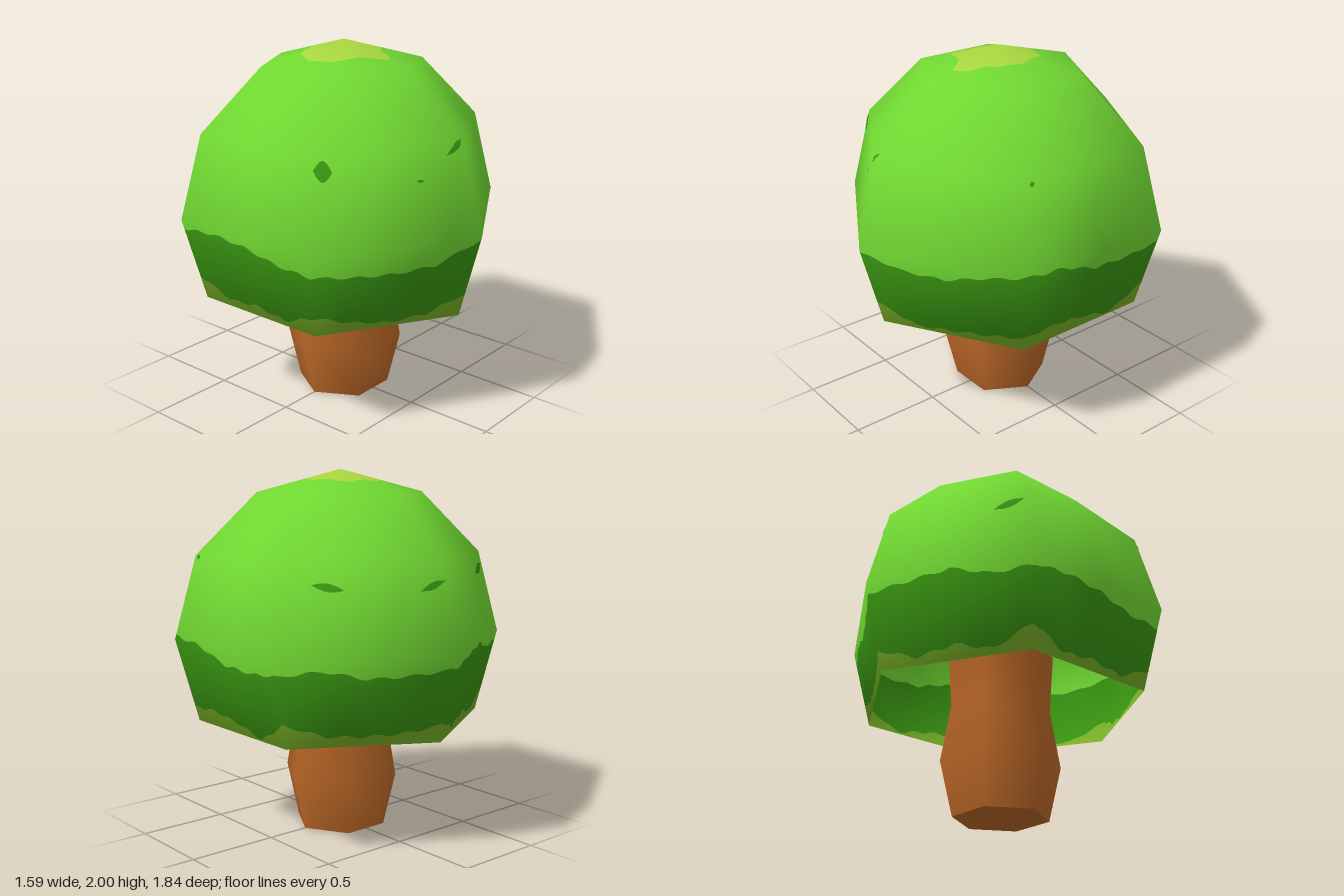
import * as THREE from 'three';

const CENTRE = 1.08, RADIUS = 0.92, SIDES = 6;

const paint = (name, color, side = THREE.FrontSide) => {
  const m = new THREE.MeshStandardMaterial({ color, side });
  m.name = name;
  return m;
};

// Canopy rings, 30 degrees apart, from the open rim up to the tip
const RINGS = [120, 90, 60, 30, 0].map(deg => {
  const a = THREE.MathUtils.degToRad(deg);
  return { y: CENTRE + RADIUS * Math.cos(a), r: RADIUS * Math.sin(a) };
});
const RIM = RINGS[0].y, TIP = RINGS[4].y;

// Six-sided radius of the canopy at height y
function radiusAt(y) {
  let k = 0;
  while (k < 3 && y > RINGS[k + 1].y) k++;
  const a = RINGS[k], b = RINGS[k + 1];
  return THREE.MathUtils.lerp(a.r, b.r, THREE.MathUtils.clamp((y - a.y) / (b.y - a.y), 0, 1));
}

// Point on the faceted canopy: s runs 0..6 around the corners, starting at the front
function canopyPoint(s, y) {
  const k = Math.floor(s), f = s - k, r = radiusAt(y);
  const a = k * Math.PI / 3, b = (k + 1) * Math.PI / 3;
  return new THREE.Vector3(
    r * THREE.MathUtils.lerp(Math.sin(a), Math.sin(b), f), y,
    r * THREE.MathUtils.lerp(Math.cos(a), Math.cos(b), f));
}

// Skin of the canopy between two height curves, split at every ring it crosses
function canopySkin(s0, s1, cols, low, high, lift = 0) {
  const pos = [], nor = [], index = [], rows = RINGS.length + 2;
  const centre = new THREE.Vector3(0, CENTRE, 0);
  for (let i = 0; i <= cols; i++) {
    const s = s0 + (s1 - s0) * i / cols, lo = low(s), hi = high(s);
    const heights = [lo, ...RINGS.map(q => THREE.MathUtils.clamp(q.y, lo, hi)), hi];
    for (const y of heights) {
      const p = canopyPoint(s, y), n = p.clone().sub(centre).normalize();
      p.addScaledVector(n, lift);
      pos.push(...p.toArray());
      nor.push(...n.toArray());
    }
  }
  const vertex = i => new THREE.Vector3().fromArray(pos, i * 3);
  const addFace = (a, b, c) => {
    const area = vertex(b).sub(vertex(a)).cross(vertex(c).sub(vertex(a))).length();
    if (area > 1e-8) index.push(a, b, c);
  };
  for (let i = 0; i < cols; i++) {
    for (let j = 0; j < rows - 1; j++) {
      const a = i * rows + j, b = a + rows;
      addFace(a, b, b + 1);
      addFace(a, b + 1, a + 1);
    }
  }
  const g = new THREE.BufferGeometry();
  g.setAttribute('position', new THREE.Float32BufferAttribute(pos, 3));
  g.setAttribute('normal', new THREE.Float32BufferAttribute(nor, 3));
  g.setIndex(index);
  return g;
}

// Closed curve through 24 evenly spaced heights, with a fine ragged ripple
function raggedEdge(values, ripple) {
  return s => {
    const x = (((s % SIDES) + SIDES) % SIDES) * values.length / SIDES;
    const k = Math.floor(x), n = values.length;
    const y = THREE.MathUtils.lerp(values[k % n], values[(k + 1) % n], x - k);
    return y + ripple * Math.sin(s * Math.PI / 3 * 31);
  };
}

export function createModel() {
  const model = new THREE.Group();
  model.name = 'tree';
  const bark = paint('bark brown', 0xb86626);
  const leaf = paint('leaf green', 0x70d731, THREE.DoubleSide);
  const shade = paint('deep green', 0x389411, THREE.DoubleSide);
  const olive = paint('olive green', 0x77b026, THREE.DoubleSide);
  const lime = paint('lime yellow', 0xa8d63f, THREE.DoubleSide);

  const add = (parent, name, geometry, material) => {
    const m = new THREE.Mesh(geometry, material);
    m.name = name;
    parent.add(m);
    return m;
  };

  // Trunk: six-sided, bulging below the canopy and flaring inside it
  const trunk = new THREE.Group();
  trunk.name = 'trunk';
  model.add(trunk);
  const profile = [[0.26, 0], [0.33, 0.3], [0.275, 0.62], [0.3, 0.95]].map(p => new THREE.Vector2(...p));
  add(trunk, 'trunkBody', new THREE.LatheGeometry(profile, SIDES, Math.PI / 2), bark);
  add(trunk, 'trunkBase', new THREE.CircleGeometry(0.26, SIDES).rotateX(Math.PI / 2), bark);
  add(trunk, 'trunkTop', new THREE.CircleGeometry(0.3, SIDES).rotateX(-Math.PI / 2).translate(0, 0.95, 0), bark);

  // Canopy: open six-sided dome in four ragged colour bands
  const canopy = new THREE.Group();
  canopy.name = 'canopy';
  model.add(canopy);
  const rimEdge = raggedEdge([
    0.75, 0.64, 0.65, 0.67, 0.70, 0.71, 0.68, 0.63, 0.75, 0.68, 0.67, 0.68,
    0.72, 0.66, 0.70, 0.65, 0.75, 0.66, 0.68, 0.65, 0.73, 0.67, 0.64, 0.66], 0.008);
  const shadeEdge = raggedEdge([
    1.07, 1.00, 0.99, 1.05, 1.10, 1.08, 1.00, 0.99, 1.01, 1.03, 0.98, 0.99,
    1.02, 1.05, 1.08, 1.02, 1.03, 1.05, 1.03, 0.98, 0.97, 0.94, 0.93, 0.95], 0.008);
  // The tip patch is given as distances from the axis
  const tipEdge = raggedEdge([
    0.31, 0.30, 0.23, 0.23, 0.20, 0.21, 0.22, 0.20, 0.19, 0.22, 0.25, 0.22,
    0.21, 0.23, 0.25, 0.24, 0.24, 0.28, 0.32, 0.30, 0.29, 0.27, 0.25, 0.27
  ].map(r => TIP - (TIP - RINGS[3].y) * r / RINGS[3].r), 0.001);

  const band = (name, low, high, material) =>
    add(canopy, name, canopySkin(0, SIDES, 192, low, high), material);
  band('rimBand', () => RIM, rimEdge, olive);
  band('shadeBand', rimEdge, shadeEdge, shade);
  band('leafBand', shadeEdge, tipEdge, leaf);
  band('tipPatch', tipEdge, () => TIP, lime);

  // Small dark flecks: position around, height, half width, thickness, slant
  const flecks = [
    [5.06, 1.48, 0.06, 0.10, -0.02], [5.93, 1.535, 0.07, 0.03, 0.07], [5.67, 1.39, 0.025, 0.015, 0],
    [1.05, 1.53, 0.02, 0.025, 0], [2.27, 1.43, 0.10, 0.04, -0.03], [2.91, 1.43, 0.08, 0.035, 0.05],
    [3.85, 1.45, 0.10, 0.05, 0.04]
  ];
  for (const [s, y, w, t, slant] of flecks) {
    const mid = q => y + slant * (q - s) / (2 * w);
    const half = q => t / 2 * Math.cos((q - s) / w * Math.PI / 2);
    add(canopy, 'leafFleck',
      canopySkin(s - w, s + w, 16, q => mid(q) - half(q), q => mid(q) + half(q), 0.004), shade);
  }
  return model;
}
